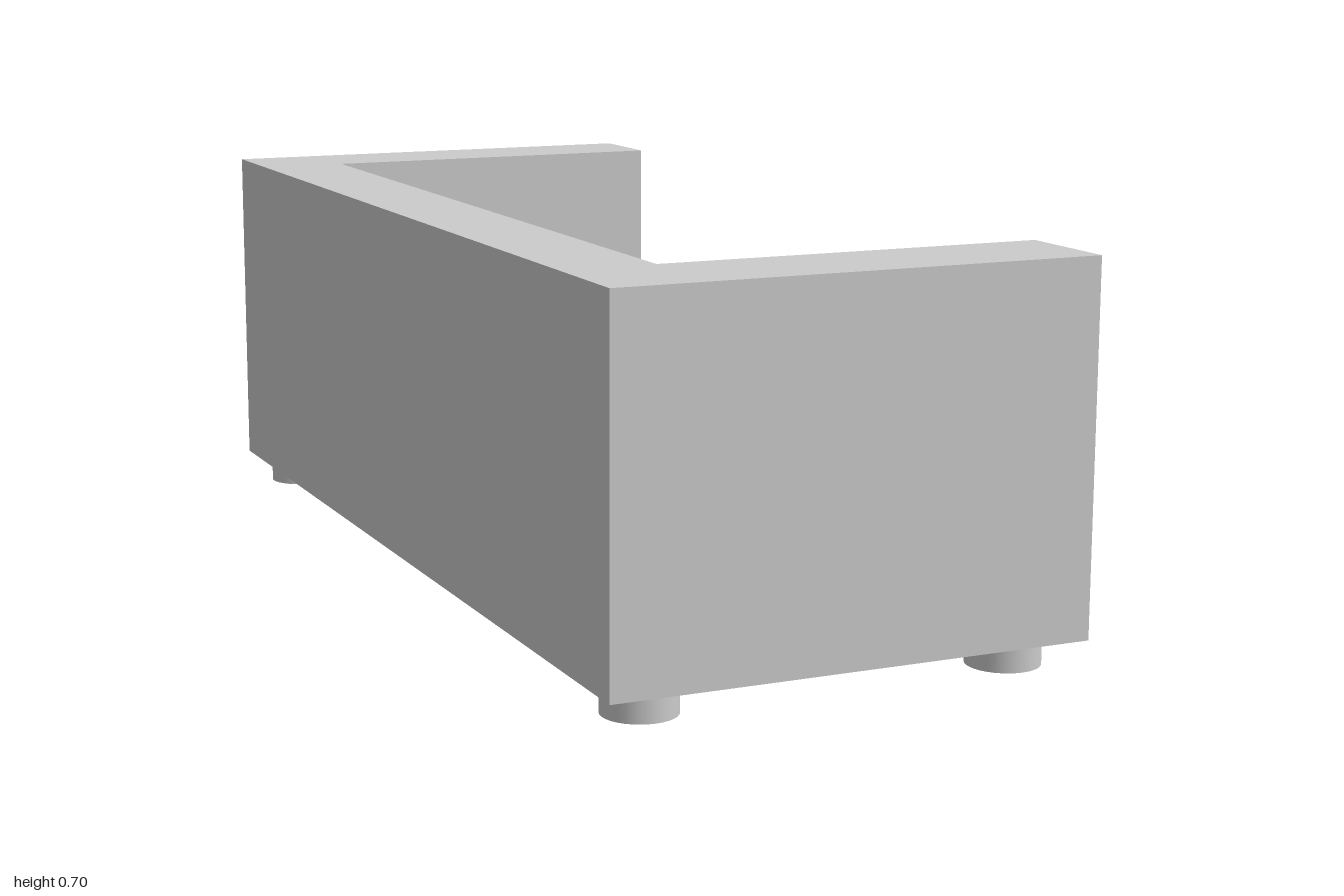
import * as THREE from 'three';

const material = new THREE.MeshStandardMaterial({ color: 0xcccccc });

export function createModel() {
  const sofa = new THREE.Group();
  sofa.name = 'sofa';

  const add = (name, geometry, x = 0, y = 0, z = 0) => {
    const mesh = new THREE.Mesh(geometry, material);
    mesh.name = name;
    mesh.position.set(x, y, z);
    sofa.add(mesh);
  };

  const halfDepth = 0.437, footTop = 0.05, seatTop = 0.27, top = 0.7;

  // Solid seat block over the whole footprint
  add('seatBase', new THREE.BoxGeometry(halfDepth * 2, seatTop - footTop, 2), 0, (seatTop + footTop) / 2, 0);

  // Backrest and both arms as one U, open towards +x (shape y becomes -z)
  const plan = new THREE.Shape([
    [-halfDepth, -1], [halfDepth, -1], [halfDepth, -0.8], [-0.268, -0.8],
    [-0.268, 0.822], [halfDepth, 0.822], [halfDepth, 1], [-halfDepth, 1],
  ].map(([x, y]) => new THREE.Vector2(x, y)));
  const walls = new THREE.ExtrudeGeometry(plan, { depth: top - seatTop, bevelEnabled: false });
  walls.rotateX(-Math.PI / 2);
  add('backrestAndArms', walls, 0, seatTop, 0);

  // Short round feet near the corners
  const foot = new THREE.CylinderGeometry(0.065, 0.065, footTop, 32);
  for (const x of [-0.345, 0.328]) {
    for (const z of [-0.905, 0.908]) add('foot', foot, x, footTop / 2, z);
  }

  return sofa;
}
